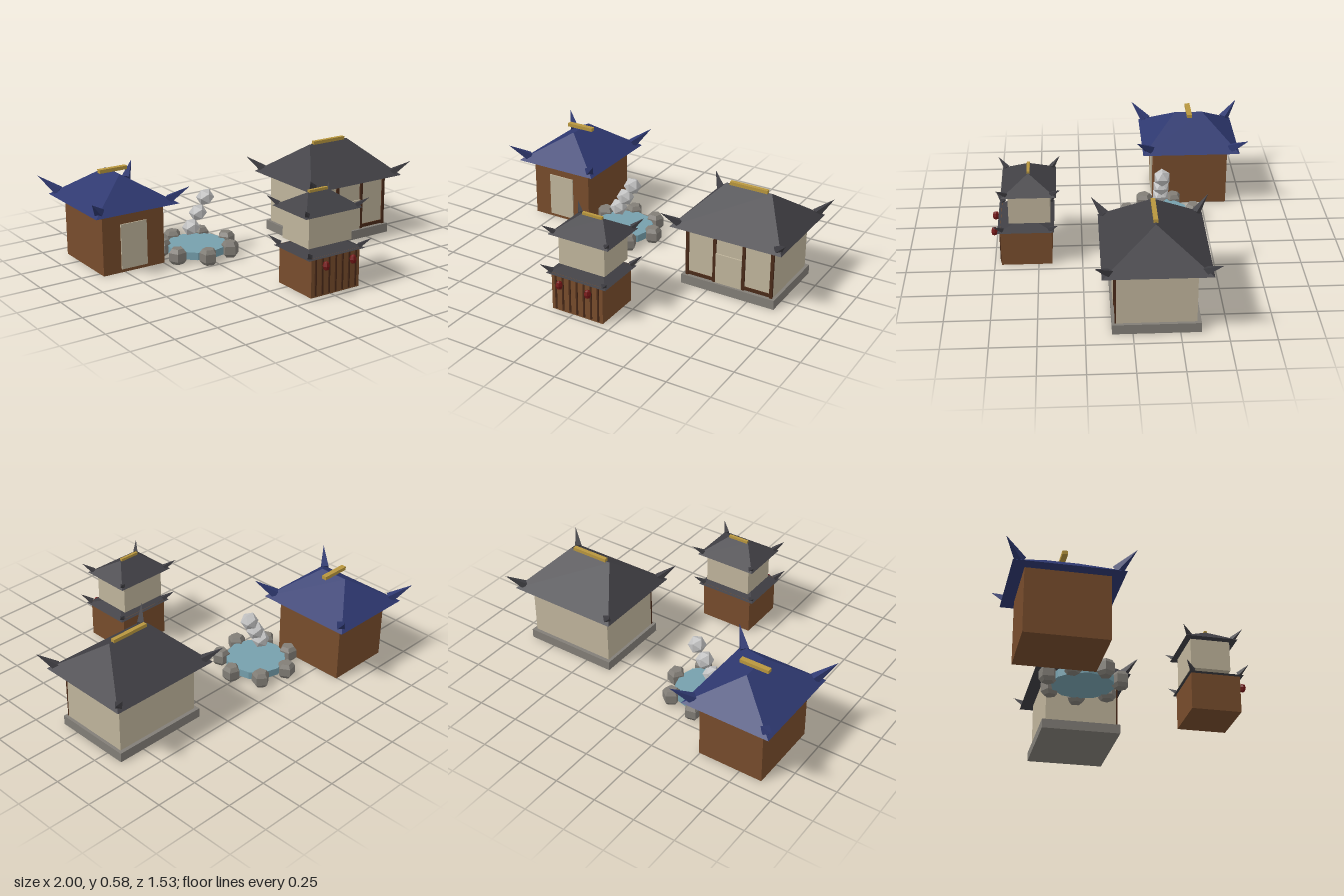
import * as THREE from 'three';

const paint = (name, color, extra = {}) => {
  const m = new THREE.MeshStandardMaterial({ color, flatShading: true, ...extra });
  m.name = name;
  return m;
};

export function createModel() {
  const mat = {
    plaster: paint('plaster', 0xbfb49b),
    wood: paint('brown wood', 0x774c2c),
    darkWood: paint('dark wood', 0x4a2a18),
    slate: paint('slate', 0x403f44),
    blue: paint('blue tile', 0x2e3870),
    gold: paint('gold', 0xb8963e),
    stone: paint('stone', 0x827e77),
    water: paint('water', 0x76a0ad),
    paleRock: paint('pale rock', 0xc2c2c2),
    red: paint('lantern red', 0x731616),
  };
  const model = new THREE.Group();
  model.name = 'courtyard';

  const group = (name, x, z) => {
    const g = new THREE.Group();
    g.name = name;
    g.position.set(x, 0, z);
    model.add(g);
    return g;
  };
  const add = (parent, name, geometry, material, x = 0, y = 0, z = 0) => {
    const m = new THREE.Mesh(geometry, material);
    m.name = name;
    m.position.set(x, y, z);
    parent.add(m);
    return m;
  };
  // Box given by its bottom and top heights
  const block = (parent, name, material, w, y0, y1, d, x = 0, z = 0) =>
    add(parent, name, new THREE.BoxGeometry(w, y1 - y0, d), material, x, (y0 + y1) / 2, z);

  // Hipped roof: a box whose top is drawn in to a ridge, with four upswept horns
  const roof = (parent, name, material, hx, hz, y0, y1, rx, rz, s) => {
    const geo = new THREE.BoxGeometry(hx * 2, y1 - y0, hz * 2);
    const p = geo.attributes.position;
    for (let i = 0; i < p.count; i++) {
      if (p.getY(i) > 0) {
        p.setX(i, Math.sign(p.getX(i)) * rx);
        p.setZ(i, Math.sign(p.getZ(i)) * rz);
      }
    }
    geo.computeVertexNormals();
    add(parent, name, geo, material, 0, (y0 + y1) / 2, 0);
    for (const sx of [-1, 1]) for (const sz of [-1, 1]) {
      const base = new THREE.Vector3(sx * (hx - 0.045 * s), y0 + 0.02 * s, sz * (hz - 0.045 * s));
      const tip = new THREE.Vector3(sx * (hx + 0.043 * s), y0 + 0.105 * s, sz * (hz + 0.043 * s));
      const dir = tip.clone().sub(base);
      const horn = add(parent, 'roofHorn', new THREE.ConeGeometry(0.032 * s, dir.length(), 4), material);
      horn.position.copy(base).add(tip).multiplyScalar(0.5);
      horn.quaternion.setFromUnitVectors(new THREE.Vector3(0, 1, 0), dir.normalize());
    }
  };

  // Blue-roofed house
  const house = group('blueHouse', -0.69, -0.427);
  block(house, 'houseWalls', mat.wood, 0.39, 0, 0.37, 0.45);
  block(house, 'houseDoor', mat.plaster, 0.165, 0.02, 0.285, 0.008, 0, 0.228);
  roof(house, 'houseRoof', mat.blue, 0.264, 0.293, 0.363, 0.528, 0.002, 0.086, 1);
  block(house, 'houseRidge', mat.gold, 0.175, 0.527, 0.548, 0.03);

  // Main hall on a stone platform
  const hall = group('mainHall', 0.622, -0.125);
  block(hall, 'platform', mat.stone, 0.577, 0, 0.056, 0.47);
  block(hall, 'hallWalls', mat.plaster, 0.54, 0.056, 0.37, 0.425);
  for (const x of [-0.261, -0.09, 0.09, 0.261]) {
    block(hall, 'hallPost', mat.darkWood, 0.018, 0.056, 0.37, 0.012, x, 0.215);
  }
  for (const s of [-1, 1]) {
    block(hall, 'hallSill', mat.darkWood, 0.16, 0.06, 0.08, 0.01, s * 0.176, 0.214);
  }
  block(hall, 'hallDoor', mat.plaster, 0.16, 0.058, 0.24, 0.008, 0, 0.22);
  roof(hall, 'hallRoof', mat.slate, 0.34, 0.288, 0.368, 0.568, 0.14, 0.002, 0.86);
  block(hall, 'hallRidge', mat.gold, 0.23, 0.565, 0.585, 0.024);

  // Two-storey tower: lower floor
  const lower = group('towerLower', 0.03, 0.567);
  block(lower, 'lowerWalls', mat.wood, 0.325, 0, 0.225, 0.29);
  for (let i = -3; i <= 3; i++) {
    block(lower, 'slat', mat.darkWood, 0.01, 0.01, 0.215, 0.008, i * 0.045, 0.147);
  }
  roof(lower, 'lowerRoof', mat.slate, 0.19, 0.16, 0.22, 0.268, 0.07, 0.002, 0.55);
  for (const x of [-0.091, 0.091]) {
    const lantern = add(lower, 'lantern', new THREE.SphereGeometry(0.021, 6, 4), mat.red, x, 0.182, 0.18);
    lantern.scale.y = 1.3;
  }

  // Two-storey tower: upper floor
  const upper = group('towerUpper', 0.03, 0.545);
  block(upper, 'upperWalls', mat.plaster, 0.29, 0.26, 0.447, 0.234);
  roof(upper, 'upperRoof', mat.slate, 0.19, 0.153, 0.443, 0.533, 0.066, 0.002, 0.55);
  block(upper, 'towerRidge', mat.gold, 0.125, 0.53, 0.545, 0.017);

  // Pond ringed by seven five-sided stones
  const pond = group('pond', -0.258, -0.23);
  add(pond, 'pondWater', new THREE.CylinderGeometry(0.176, 0.176, 0.045, 12), mat.water, 0, 0.043, 0);
  const profile = [[0, 0.004], [0.035, 0.004], [0.052, 0.025], [0.052, 0.073], [0.035, 0.096], [0, 0.096]]
    .map(([r, y]) => new THREE.Vector2(r, y));
  for (let i = 0; i < 7; i++) {
    const a = (i / 7) * Math.PI * 2;
    const rock = add(pond, 'pondStone', new THREE.LatheGeometry(profile, 5), mat.stone,
      Math.cos(a) * 0.205, 0, Math.sin(a) * 0.205);
    rock.rotation.y = -a - Math.PI / 2;
  }

  // Rising trail of pale faceted rocks
  for (const [x, y] of [[-0.037, 0.17], [0.011, 0.25], [0.062, 0.335]]) {
    add(pond, 'paleRock', new THREE.IcosahedronGeometry(0.053, 0), mat.paleRock, x, y, 0);
  }

  return model;
}
